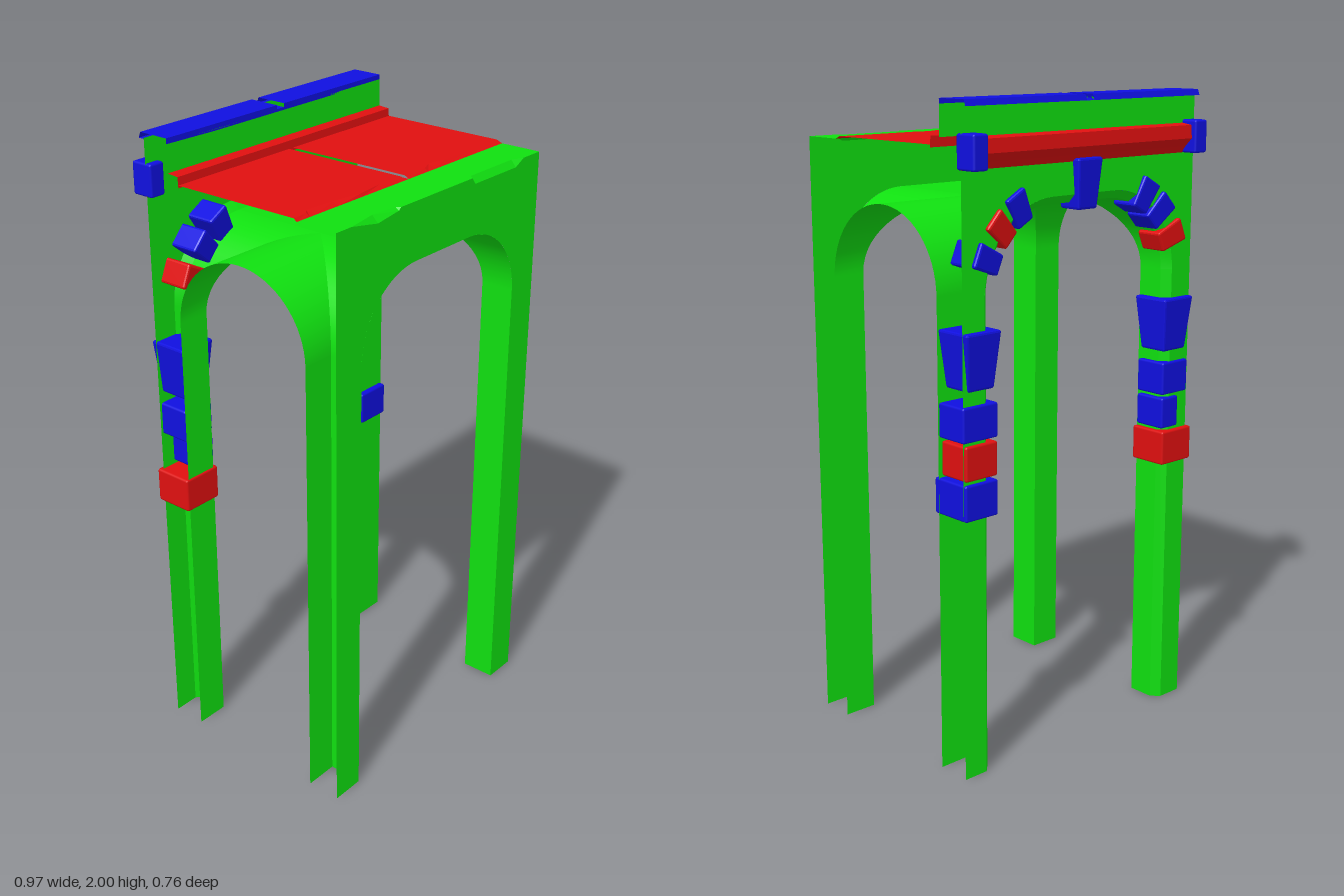
import * as THREE from 'three';
import { RoundedBoxGeometry } from 'three/addons/geometries/RoundedBoxGeometry.js';

const paint = (color) => new THREE.MeshStandardMaterial({ color, side: THREE.DoubleSide });
const GREEN = paint(0x10e010), RED = paint(0xe01010), BLUE = paint(0x1010e0);

// Main dimensions
const W = 0.473, ZF = 0.38, ZB = -0.325;       // outer faces
const FLAT = 0.125, RX = 0.24;                 // wide arch: flat half-width, corner radius
const ZC = 0.0275, RZ = 0.2425;                // side arch: centre, radius
const SPRING = 1.45, RISE = 0.24, CROWN = SPRING + RISE;
const CH = 0.025;                              // chamfer on the rear arch edge
const TOP = 1.865, DECK = 1.873, N = 16;

export function createModel() {
  const model = new THREE.Group();

  function add(name, geometry, material) {
    const mesh = new THREE.Mesh(geometry, material);
    mesh.name = name;
    model.add(mesh);
    return mesh;
  }

  // Open surface through rows of points of equal length
  function strip(name, rows, material, flat = false) {
    const n = rows[0].length, index = [];
    for (let r = 0; r < rows.length - 1; r++) {
      for (let i = 0; i < n - 1; i++) {
        const a = r * n + i, b = a + n;
        index.push(a, b, a + 1, b, b + 1, a + 1);
      }
    }
    let g = new THREE.BufferGeometry();
    g.setAttribute('position', new THREE.Float32BufferAttribute(rows.flat(2), 3));
    g.setIndex(index);
    if (flat) g = g.toNonIndexed();
    g.computeVertexNormals();
    return add(name, g, material);
  }

  // Folded sheet running along x, from a profile of [z, y]
  const fold = (name, profile, x0, x1, material) =>
    strip(name, profile.map(([z, y]) => [[x0, y, z], [x1, y, z]]), material, true);

  // Wall outline with the wide arch cut out; top is a list of [x, y], right to left
  function archWall(name, z, grow, top) {
    const s = new THREE.Shape(), r = RX + grow;
    s.moveTo(-W, 0);
    s.lineTo(-FLAT - r, 0);
    s.lineTo(-FLAT - r, SPRING);
    s.absarc(-FLAT, SPRING, r, Math.PI, Math.PI / 2, true);
    s.absarc(FLAT, SPRING, r, Math.PI / 2, 0, true);
    s.lineTo(FLAT + r, 0);
    s.lineTo(W, 0);
    top.forEach(([x, y]) => s.lineTo(x, y));
    const m = add(name, new THREE.ShapeGeometry(s, N), GREEN);
    m.position.z = z;
  }

  // Front edge with two worn chips: [x, drop, inset]
  const chips = [[-W, 0, 0], [-0.41, 0, 0], [-0.3, 0.02, 0.02], [-0.21, 0.008, 0.012], [-0.2, 0, 0],
    [0.13, 0, 0], [0.145, 0.02, 0.017], [0.35, 0.02, 0.017], [0.39, 0, 0], [W, 0, 0]];
  archWall('frontWall', ZF, 0, chips.map(([x, d]) => [x, TOP - d]).reverse());
  archWall('backWall', ZB, CH, [[W, 1.985], [-W, 1.985]]);
  strip('frontLedge', [
    chips.map(([x, d]) => [x, TOP - d, ZF]),
    chips.map(([x, , i]) => [x, TOP, ZF - i]),
    chips.map(([x]) => [x, TOP, 0.245]),
  ], GREEN, true);

  // Legs and groin vault, one quadrant at a time
  for (const sx of [1, -1]) {
    for (const sz of [1, -1]) {
      const outer = [], groin = [], side = [], chamfer = [];
      for (let k = -1; k <= N; k++) {
        const t = Math.max(k, 0) / N * Math.PI / 2;
        const c = Math.cos(t), s = Math.sin(t);
        const y = k < 0 ? 0 : SPRING + RISE * s;
        const x = sx * (FLAT + RX * c), z = ZC + sz * RZ * c;
        outer.push([x, y, sz > 0 ? ZF : ZB + CH]);
        groin.push([x, y, z]);
        side.push([sx * W, y, z]);
        chamfer.push([sx * (FLAT + (RX + CH) * c), k < 0 ? 0 : y + CH * s, ZB]);
      }
      const label = (sz > 0 ? 'front' : 'back') + (sx > 0 ? 'Left' : 'Right');
      strip(label + 'LegAndLongVault', [outer, groin], GREEN);
      strip(label + 'LegAndCrossVault', [groin, side], GREEN);
      if (sz < 0) strip(label + 'ArchChamfer', [outer, chamfer], GREEN);
    }
  }
  fold('vaultCrown', [[ZF, CROWN], [ZB + CH, CROWN], [ZB, CROWN + CH]], -FLAT, FLAT, GREEN);

  // Deck in two halves with a worn front edge and a joint between: [x, z]
  const worn = [
    [[-W, 0.235], [-0.42, 0.232], [-0.4, 0.215], [-0.3, 0.222], [-0.2, 0.238], [-0.1, 0.226], [-0.008, 0.23]],
    [[0.008, 0.23], [0.1, 0.232], [0.14, 0.215], [0.2, 0.226], [0.35, 0.223], [W, 0.225]],
  ];
  for (const edge of worn) {
    strip('deckHalf', [
      edge.map(([x]) => [x, DECK, -0.195]),
      edge.map(([x, z]) => [x, DECK, z]),
      edge.map(([x]) => [x, TOP, 0.245]),
    ], RED, true);
  }
  fold('deckJoint', [[-0.195, TOP], [0.245, TOP]], -0.008, 0.008, RED);
  fold('deckKerb', [[-0.195, TOP], [-0.197, 1.897], [-0.235, 1.9]], -W, W, RED);

  // Parapet
  fold('parapetFront', [[-0.235, 1.895], [-0.235, 1.985]], -W, W, GREEN);
  const cap = [[-0.235, 1.98], [-0.235, 2], [-0.338, 2], [-0.345, 1.982], [ZB, 1.982]];
  for (const s of [1, -1]) fold('parapetCap', cap, s * 0.015, s * W, BLUE);
  fold('parapetCapJoint', cap.map(([z, y]) => [z, Math.min(y, 1.988)]), -0.015, 0.015, BLUE);
  fold('rearMoulding', [[ZB, 1.9], [-0.362, 1.895], [-0.365, 1.855], [-0.34, 1.83], [ZB, 1.81]], -W, W, RED);

  // Stone block from its limits; taper narrows the foot
  function stone(name, material, [x0, x1], [y0, y1], [z0, z1], taper = 0) {
    const w = x1 - x0, h = y1 - y0, d = z1 - z0;
    const g = new RoundedBoxGeometry(w, h, d, 1, 0.007);
    const p = g.attributes.position;
    for (let i = 0; i < p.count; i++) {
      const k = 1 - taper * (0.5 - p.getY(i) / h);
      p.setX(i, p.getX(i) * k);
      p.setZ(i, p.getZ(i) * k);
    }
    if (taper) g.computeVertexNormals();
    const m = add(name, g, material);
    m.position.set((x0 + x1) / 2, (y0 + y1) / 2, (z0 + z1) / 2);
    return m;
  }

  // Quoins on the rear legs
  const Z = [-0.335, -0.225], WIDE = [-0.335, -0.195];
  stone('leftQuoin', BLUE, [0.348, 0.472], [0.81, 0.92], WIDE);
  stone('leftQuoin', RED, [0.35, 0.47], [0.93, 1.035], Z);
  stone('leftQuoin', BLUE, [0.348, 0.48], [1.045, 1.15], Z);
  stone('rightQuoin', RED, [-0.485, -0.35], [0.82, 0.93], [-0.34, -0.21]);
  stone('rightQuoin', BLUE, [-0.425, -0.35], [0.94, 1.04], Z);
  stone('rightQuoin', BLUE, [-0.465, -0.35], [1.05, 1.155], Z);

  for (const s of [1, -1]) {
    const span = (a, b) => (s > 0 ? [a, b] : [-b, -a]);
    stone('impost', BLUE, span(0.342, 0.472), [1.19, 1.36], [-0.345, -0.215], 0.25);
    stone('mouldingEndBlock', BLUE, span(0.42, 0.474), [1.81, 1.91], [-0.38, -0.305]);
    // Arch stones, following the corner curve
    const colors = s > 0 ? [BLUE, RED, BLUE] : [RED, BLUE, BLUE];
    [23, 43, 61].forEach((deg, i) => {
      const a = THREE.MathUtils.degToRad(deg), r = 0.275;
      const m = stone('archStone', colors[i], [-0.038, 0.038], [-0.05, 0.05], [-0.34, -0.23], 0.18);
      m.position.x = s * (FLAT + r * Math.cos(a));
      m.position.y = SPRING + r * Math.sin(a);
      m.rotation.z = s * (a - Math.PI / 2);
    });
  }
  stone('keystone', BLUE, [-0.05, 0.05], [1.67, 1.82], [-0.352, -0.25], 0.25);

  return model;
}
